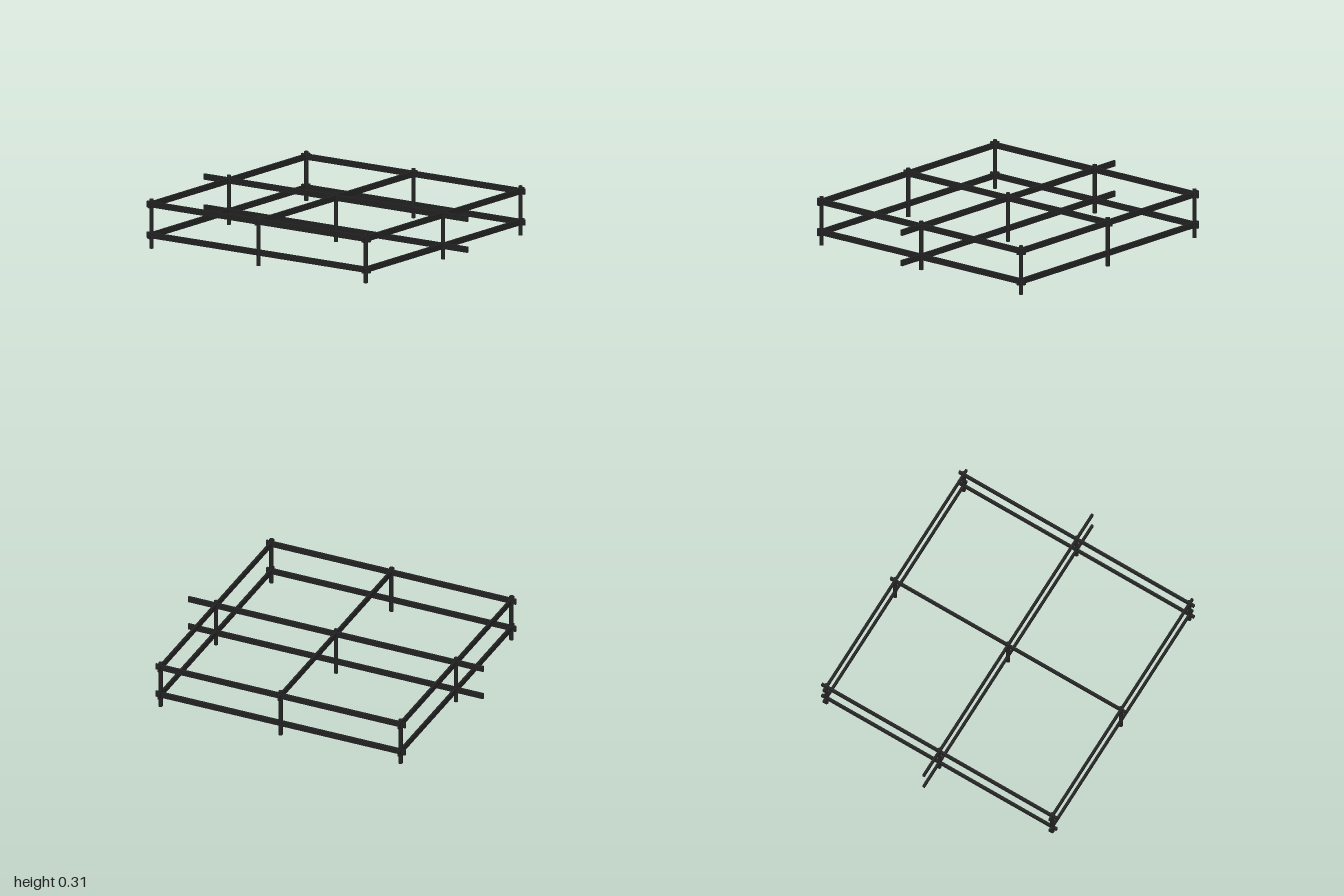
import * as THREE from 'three';

export function createModel() {
  const model = new THREE.Group();
  const charcoal = new THREE.MeshStandardMaterial({ color: 0x222222 });
  charcoal.name = 'charcoal';

  const SPAN = 0.813;                 // grid spacing of the posts
  const LOW = 0.083, HIGH = 0.278;    // rail heights
  const THICK = 0.014, DEPTH = 0.037; // rail section
  const POST_H = 0.312;

  function add(geometry, name, x, y, z) {
    const mesh = new THREE.Mesh(geometry, charcoal);
    mesh.name = name;
    mesh.position.set(x, y, z);
    model.add(mesh);
  }

  // Nine round posts on a square grid
  const post = new THREE.CylinderGeometry(0.013, 0.013, POST_H, 16);
  for (const x of [-SPAN, 0, SPAN])
    for (const z of [-SPAN, 0, SPAN]) add(post, 'post', x, POST_H / 2, z);

  // Outer rails in two tiers, and the long middle rails running sideways
  const sideways = new THREE.BoxGeometry(1.692, DEPTH, THICK);
  const lengthways = new THREE.BoxGeometry(THICK, DEPTH, 1.692);
  const longRail = new THREE.BoxGeometry(2, DEPTH, THICK);
  for (const y of [LOW, HIGH]) {
    for (const s of [-1, 1]) {
      add(sideways, s > 0 ? 'frontRail' : 'backRail', 0, y, s * SPAN);
      add(lengthways, s > 0 ? 'leftRail' : 'rightRail', s * SPAN, y, 0);
    }
    add(longRail, 'longMiddleRail', 0, y, 0);
  }

  // The middle lengthways rail has an upper tier only
  add(lengthways, 'middleTopRail', 0, HIGH, 0);

  return model;
}
